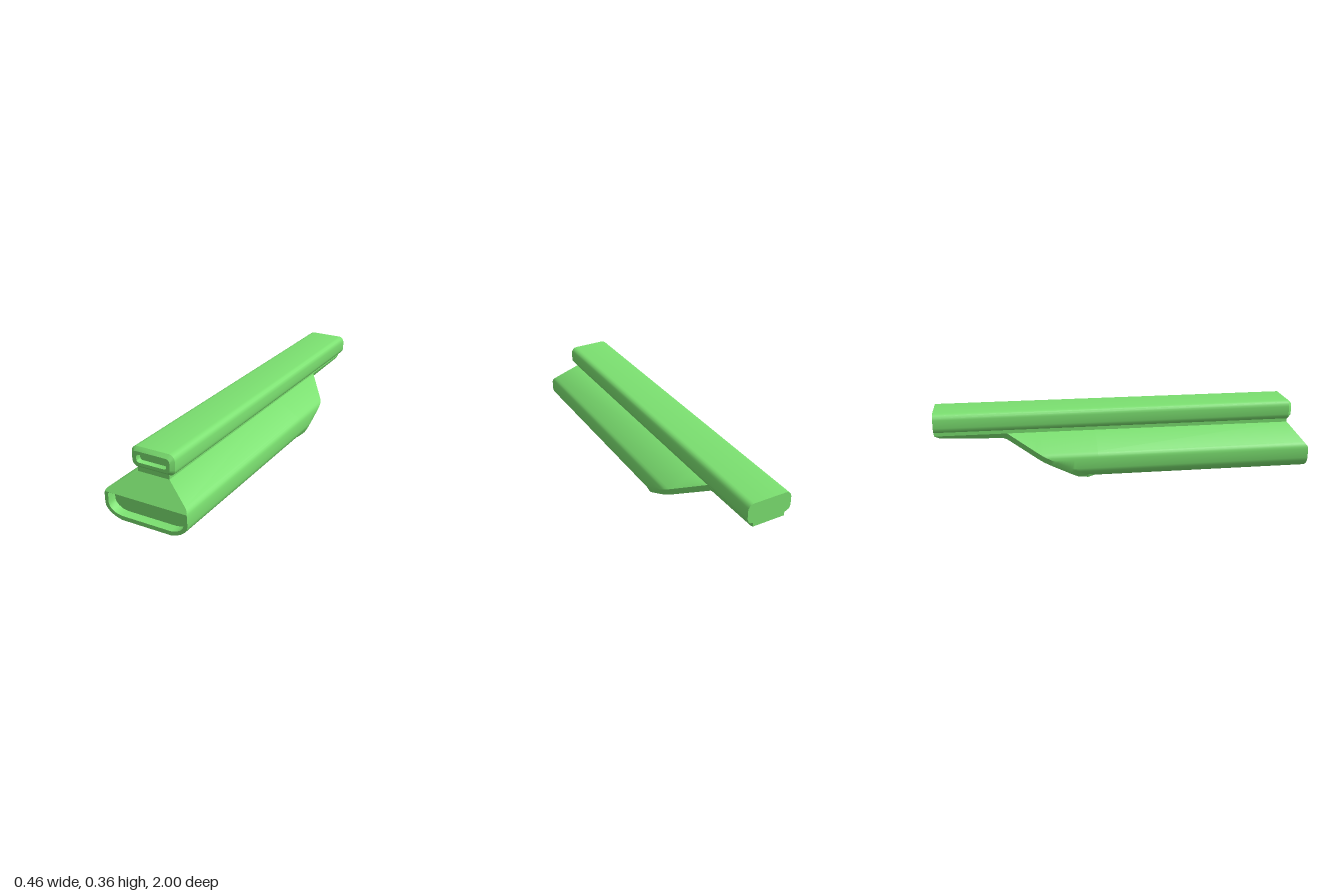
import * as THREE from 'three';
import { toCreasedNormals } from 'three/addons/utils/BufferGeometryUtils.js';

const V = (x, y, z) => new THREE.Vector3(x, y, z);

// Piecewise linear lookup in a table of ascending [key, value] pairs
function lookup(table, k) {
  if (k <= table[0][0]) return table[0][1];
  for (let i = 1; i < table.length; i++) {
    const [k0, v0] = table[i - 1], [k1, v1] = table[i];
    if (k <= k1) return v0 + (v1 - v0) * (k - k0) / (k1 - k0);
  }
  return table[table.length - 1][1];
}

// Half outline (top to bottom on +x) completed with its mirror image
const mirror = (half) => [...half, ...half.slice().reverse().map(([x, ...r]) => [-x, ...r])];

// Skin over closed clockwise rings of Vector3, skipping collapsed triangles
function loft(rings) {
  const pos = [];
  const tri = (a, b, c) => {
    const n = b.clone().sub(a).cross(c.clone().sub(a));
    if (n.length() > 1e-9) for (const p of [a, b, c]) pos.push(p.x, p.y, p.z);
  };
  for (let s = 0; s + 1 < rings.length; s++) {
    const A = rings[s], B = rings[s + 1];
    for (let i = 0; i < A.length; i++) {
      const j = (i + 1) % A.length;
      tri(A[i], A[j], B[i]);
      tri(A[j], B[j], B[i]);
    }
  }
  const g = new THREE.BufferGeometry();
  g.setAttribute('position', new THREE.Float32BufferAttribute(pos, 3));
  return toCreasedNormals(g, 0.65);
}

const vec2 = (pts) => pts.map(([x, y]) => new THREE.Vector2(x, y));
const ringAt = (pts, z) => pts.map(([x, y]) => V(x, y, z));

// Flat face looking along +z, with an optional hole
function face(pts, z, hole) {
  const shape = new THREE.Shape(vec2(pts));
  if (hole) shape.holes.push(new THREE.Path(vec2(hole)));
  return new THREE.ShapeGeometry(shape).translate(0, 0, z);
}

// Clockwise rounded rectangle
function roundRect(hw, hh, r, cy) {
  const pts = [], n = 4;
  for (const [sx, sy, a0] of [[1, 1, 90], [1, -1, 0], [-1, -1, -90], [-1, 1, -180]]) {
    for (let i = 0; i <= n; i++) {
      const a = THREE.MathUtils.degToRad(a0 - 90 * i / n);
      pts.push([sx * (hw - r) + r * Math.cos(a), cy + sy * (hh - r) + r * Math.sin(a)]);
    }
  }
  return pts;
}

// Body half profile, top to bottom
const profile = [
  [0.087, 0.235], [0.209, 0.155], [0.219, 0.147], [0.226, 0.137], [0.228, 0.13], [0.23, 0.12],
  [0.23, 0.07], [0.226, 0.053], [0.215, 0.037], [0.195, 0.021], [0.168, 0.008], [0.138, 0],
];
const widthAt = profile.map(([x, y]) => [y, x]).reverse();

// Underside and lower side edge heights, keyed by -z
const underside = [[0.15, 0], [0.2, 0.006], [0.26, 0.02], [0.64, 0.205], [0.97, 0.22], [1, 0.235]];
const sideEdge = [[0.15, 0], [0.25, 0.05], [0.62, 0.235]];
const frontZ = (y) => (y <= 0.13 ? 1 : 1 - 0.08 * (y - 0.13) / 0.105);

function bodySection(z) {
  const u = lookup(sideEdge, -z), b = lookup(underside, -z);
  const half = profile.map(([x, y]) => (y >= u ? [x, y] : [lookup(widthAt, u), u]));
  half.push([lookup(widthAt, u) - 0.5 * (u - b), b]);
  return mirror(half);
}

export function createModel() {
  const model = new THREE.Group();
  const mat = new THREE.MeshStandardMaterial({ color: 0x7be070 });
  const add = (name, geo, parent = model) => {
    const m = new THREE.Mesh(geo, mat);
    m.name = name;
    parent.add(m);
    return m;
  };

  // Lower body, cut away towards the back into a thin tail
  const body = new THREE.Group();
  body.name = 'lowerBody';
  model.add(body);
  const stations = [-0.15, -0.2, -0.25, -0.26];
  for (let i = 1; i <= 24; i++) stations.push(-0.26 - 0.36 * i / 24);
  stations.push(-0.64, -0.97, -1);
  const front = bodySection(1).map(([x, y]) => V(x, y, frontZ(y)));
  add('bodyShell', loft([front, ...stations.map((z) => ringAt(bodySection(z), z))]), body);

  // Sloped upper front
  const slope = face(mirror(profile.filter((p) => p[1] >= 0.13)), 0);
  const p = slope.attributes.position;
  for (let i = 0; i < p.count; i++) p.setZ(i, frontZ(p.getY(i)));
  slope.computeVertexNormals();
  add('slopedFront', slope, body);

  // Flat lower front with a shallow recess
  const recess = mirror([[0.2, 0.1295], [0.21, 0.122], [0.21, 0.072], [0.205, 0.056], [0.19, 0.04], [0.167, 0.028], [0.138, 0.022]]);
  add('frontRim', face(mirror(profile.filter((q) => q[1] <= 0.13)), 1, recess), body);
  add('frontRecessWall', loft([ringAt(recess, 0.95), ringAt(recess, 1)]), body);
  add('frontRecessFloor', face(recess, 0.95), body);

  // Neck joining body and rail
  add('neck', new THREE.BoxGeometry(0.174, 0.03, 1.92).translate(0, 0.25, -0.04));

  // Upper rail with bevelled, recessed front end
  const rail = new THREE.Group();
  rail.name = 'upperRail';
  model.add(rail);
  const cy = 0.309;
  const outer = roundRect(0.119, 0.0535, 0.032, cy);
  const rim = roundRect(0.101, 0.036, 0.018, cy);
  const slot = roundRect(0.082, 0.02, 0.012, cy);
  add('railShell', loft([
    ringAt(slot, 0.905), ringAt(slot, 0.935), ringAt(rim, 0.935), ringAt(outer, 0.917), ringAt(outer, -1),
  ]), rail);
  add('railSlotFloor', face(slot, 0.905), rail);
  add('railBackCap', face(outer, 0).rotateY(Math.PI).translate(0, 0, -1), rail);

  return model;
}
